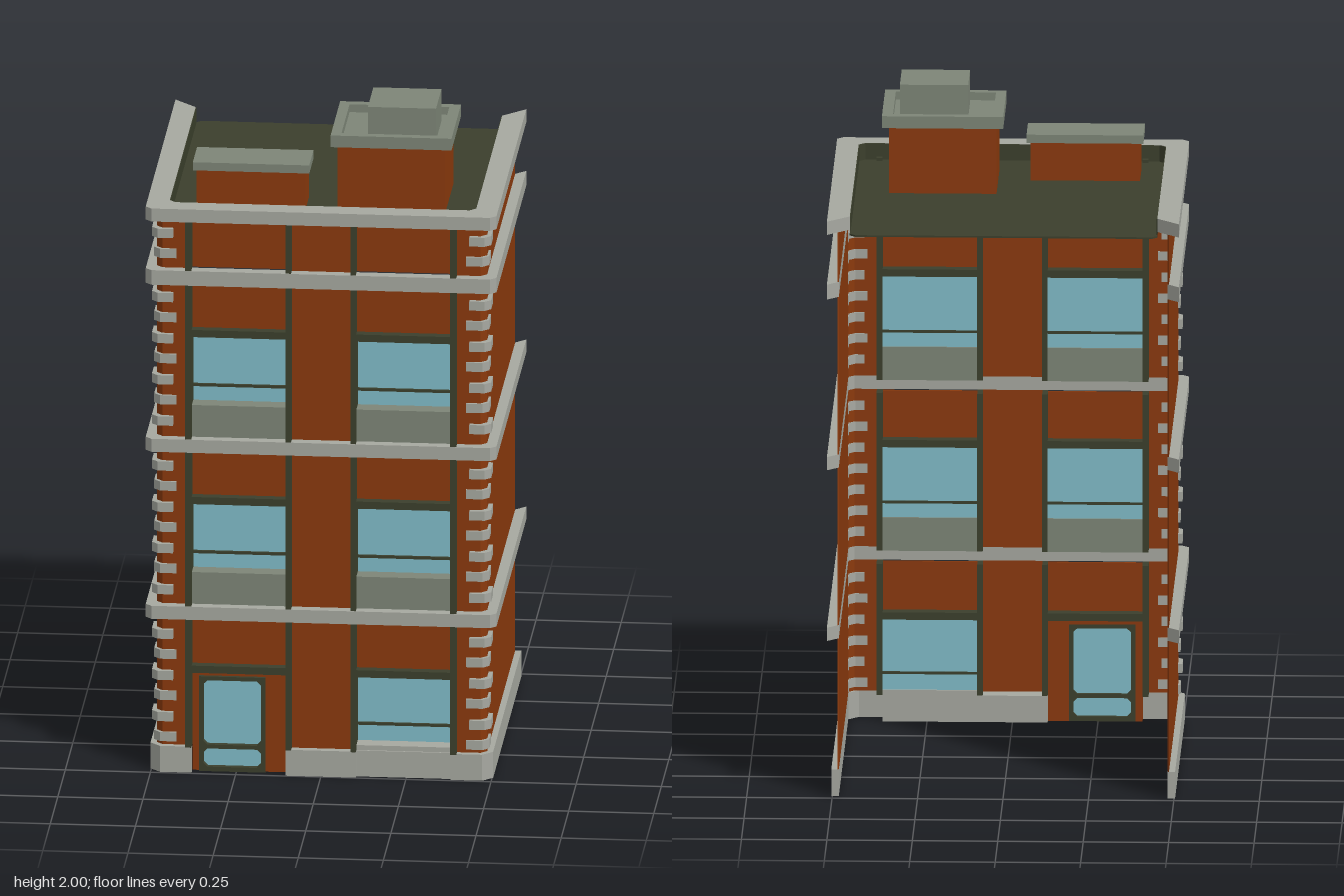
import * as THREE from 'three';

const mat = (name, color) => {
  const m = new THREE.MeshStandardMaterial({ color, side: THREE.DoubleSide });
  m.name = name;
  return m;
};

export function createModel() {
  const brick = mat('brick', 0x8a390c);
  const stone = mat('paleStone', 0xa6a8a0);
  const panel = mat('greyPanel', 0x7d8577);
  const dark = mat('darkTrim', 0x3b3f2c);
  const glass = mat('glass', 0x80bcc8);

  const model = new THREE.Group();
  model.name = 'building';
  const add = (name, geo, material) => {
    const mesh = new THREE.Mesh(geo, material);
    mesh.name = name;
    model.add(mesh);
    return mesh;
  };
  // Box given by its limits on each axis
  const box = (name, material, x0, x1, y0, y1, z0, z1) => {
    const geo = new THREE.BoxGeometry(x1 - x0, y1 - y0, z1 - z0);
    geo.translate((x0 + x1) / 2, (y0 + y1) / 2, (z0 + z1) / 2);
    return add(name, geo, material);
  };
  // Flat plan outline (x, z) raised from y0 to y1
  const raise = (name, material, pts, y0, y1) => {
    const shape = new THREE.Shape(pts.map(([x, z]) => new THREE.Vector2(x, -z)));
    const geo = new THREE.ExtrudeGeometry(shape, { depth: y1 - y0, bevelEnabled: false });
    geo.rotateX(-Math.PI / 2);
    geo.translate(0, y0, 0);
    return add(name, geo, material);
  };
  // Path along one side, round the chamfered corner and along the front, at offset d
  const path = (s, d, xEnd, zBack, c) => {
    const X = 0.485 + d, Z = 0.475 + d;
    return [[X, zBack ?? -Z], [X, Z - c], [X - c, Z], [xEnd, Z]].map(([x, z]) => [s * x, z]);
  };
  // Mirrored pair of bands between two offsets
  const band = (name, material, d0, d1, y0, y1, { xEnd = 0, zBack, c = 0.018 } = {}) => {
    for (const s of [-1, 1]) {
      const pts = [...path(s, d1, xEnd, zBack, c), ...path(s, d0, xEnd, zBack, c).reverse()];
      raise(name, material, pts, y0, y1);
    }
  };

  // Storeys between the stone courses
  const storeys = [[0.08, 0.475], [0.515, 0.99], [1.03, 1.505], [1.55, 1.70]];
  for (const [y0, y1] of storeys) {
    band('wall', brick, -0.004, 0, y0, y1, { xEnd: 0.398 });
    box('centrePier', brick, -0.087, 0.087, y0, y1, 0.471, 0.475);
    for (const s of [-1, 1]) {
      for (const [a, b] of [[0.38, 0.398], [0.087, 0.103]]) {
        box('bayPost', dark, Math.min(s * a, s * b), Math.max(s * a, s * b), y0, y1, 0.42, 0.503);
      }
    }
  }

  // Stone courses and parapet
  for (const [y0, y1] of [[0.475, 0.515], [0.99, 1.03], [1.505, 1.55]]) {
    band('stoneCourse', stone, -0.004, 0.03, y0, y1);
  }
  band('parapet', stone, -0.035, 0.03, 1.70, 1.74);
  band('parapetLining', dark, -0.037, -0.035, 1.69, 1.739);

  // Plinth with gaps for the door and the shop window
  band('plinth', stone, -0.004, 0.018, 0, 0.08, { xEnd: 0.38, zBack: -0.475, c: 0.03 });
  box('plinthCentre', stone, -0.103, 0.103, 0, 0.08, 0.42, 0.497);
  box('plinthWindow', stone, 0.103, 0.38, 0, 0.08, 0.42, 0.485);
  box('windowSill', stone, 0.103, 0.38, 0.08, 0.095, 0.42, 0.48);

  // Corner blocks, alternately long and short
  const blockRows = [[0.105, 6], [0.56, 7], [1.08, 7], [1.595, 2]];
  for (const [start, count] of blockRows) {
    for (let i = 0; i < count; i++) {
      const y = start + i * 0.0635;
      const long = (i + count) % 2 === 1;
      band('cornerBlock', stone, -0.006, long ? 0.013 : 0.007, y - 0.014, y + 0.014,
        { xEnd: long ? 0.435 : 0.425, zBack: 0.41 });
    }
  }

  // Window bay from x0 to x1: glass, sash rail, lintel and brick above
  const bay = (x0, x1, bottom, rail, top, ceiling) => {
    box('upperPane', glass, x0, x1, rail, top, 0.422, 0.428);
    box('lowerPane', glass, x0, x1, bottom, rail, 0.426, 0.432);
    box('sashRail', dark, x0, x1, rail - 0.004, rail + 0.004, 0.42, 0.436);
    box('lintel', dark, x0, x1, top, top + 0.022, 0.42, 0.49);
    box('bayWall', brick, x0, x1, top + 0.022, ceiling, 0.455, 0.462);
  };
  for (const [x0, x1] of [[-0.38, -0.103], [0.103, 0.38]]) {
    for (const y of [0.515, 1.03]) {
      bay(x0, x1, y + 0.1, y + 0.147, y + 0.312, y + 0.475);
      box('bayPanel', panel, x0, x1, y, y + 0.088, 0.42, 0.475);
      box('bayPanelLip', panel, x0, x1, y + 0.088, y + 0.1, 0.42, 0.482);
    }
    box('topBayWall', brick, x0, x1, 1.55, 1.70, 0.455, 0.462);
  }
  bay(0.103, 0.38, 0.095, 0.147, 0.307, 0.475);

  // Entrance: surround, frame, glazed leaf and rail
  box('doorLintel', dark, -0.38, -0.103, 0.307, 0.329, 0.42, 0.49);
  box('entranceWall', brick, -0.38, -0.103, 0.329, 0.475, 0.455, 0.462);
  box('doorSurround', brick, -0.38, -0.36, 0, 0.307, 0.44, 0.465);
  box('doorSurround', brick, -0.165, -0.103, 0, 0.307, 0.44, 0.465);
  box('doorSurround', brick, -0.36, -0.165, 0.292, 0.307, 0.44, 0.465);
  const rect = (P, x0, x1, y0, y1, c) => {
    const p = new P();
    p.moveTo(x0 + c, y0);
    [[x1 - c, y0], [x1, y0 + c], [x1, y1 - c], [x1 - c, y1], [x0 + c, y1], [x0, y1 - c], [x0, y0 + c]]
      .forEach(([x, y]) => p.lineTo(x, y));
    p.closePath();
    return p;
  };
  const frame = rect(THREE.Shape, -0.36, -0.165, 0, 0.292, 0);
  frame.holes.push(rect(THREE.Path, -0.347, -0.177, 0.082, 0.28, 0.012));
  frame.holes.push(rect(THREE.Path, -0.347, -0.177, 0.014, 0.07, 0.012));
  const frameGeo = new THREE.ExtrudeGeometry(frame, { depth: 0.035, bevelEnabled: false });
  frameGeo.translate(0, 0, 0.44);
  add('doorFrame', frameGeo, dark);
  box('doorGlass', glass, -0.355, -0.17, 0.005, 0.287, 0.452, 0.458);

  // Roof deck with clipped corners
  const c = 0.016;
  raise('roof', dark, [[-0.45 + c, -0.465], [0.45 - c, -0.465], [0.45, -0.465 + c], [0.45, 0.44 - c],
    [0.45 - c, 0.44], [-0.45 + c, 0.44], [-0.45, 0.44 - c], [-0.45, -0.465 + c]], 1.685, 1.69);

  // Low roof box
  box('lowStack', brick, -0.38, -0.06, 1.69, 1.805, 0.205, 0.325);
  box('lowStackCap', panel, -0.39, -0.048, 1.805, 1.83, 0.195, 0.337);

  // Tall roof box with a rimmed cap and vent
  box('tallStack', brick, 0.035, 0.35, 1.69, 1.89, 0.04, 0.33);
  box('capFloor', panel, 0.015, 0.37, 1.89, 1.902, 0.023, 0.342);
  box('capRim', panel, 0.015, 0.37, 1.902, 1.926, 0.317, 0.342);
  box('capRim', panel, 0.015, 0.37, 1.902, 1.926, 0.023, 0.05);
  box('capRim', panel, 0.015, 0.045, 1.902, 1.926, 0.05, 0.317);
  box('capRim', panel, 0.338, 0.37, 1.902, 1.926, 0.05, 0.317);
  box('vent', panel, 0.12, 0.32, 1.902, 2.0, 0.108, 0.29);

  return model;
}
